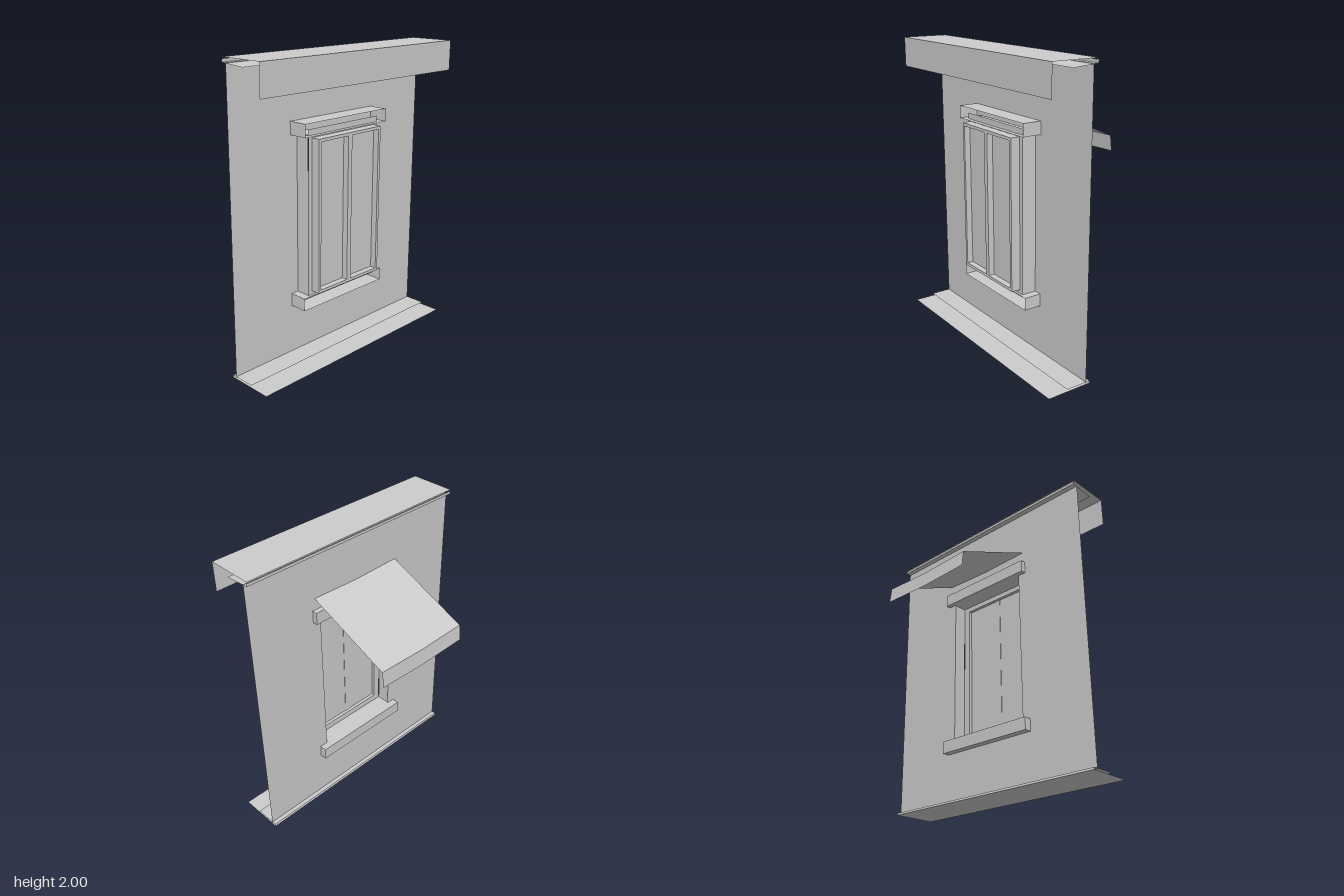
import * as THREE from 'three';

const mat = new THREE.MeshStandardMaterial({ color: 0xcccccc, side: THREE.DoubleSide, flatShading: true });

function add(group, name, geometry, x = 0, y = 0, z = 0) {
  const mesh = new THREE.Mesh(geometry, mat);
  mesh.name = name;
  mesh.position.set(x, y, z);
  group.add(mesh);
  return mesh;
}

// Open sheet: a profile of [x, y] points swept along z from -half to half
function sheet(points, half) {
  const pos = [], idx = [];
  points.forEach(([x, y], i) => {
    pos.push(x, y, half, x, y, -half);
    if (i) {
      const a = 2 * i - 2;
      idx.push(a, a + 1, a + 2, a + 1, a + 3, a + 2);
    }
  });
  const g = new THREE.BufferGeometry();
  g.setAttribute('position', new THREE.Float32BufferAttribute(pos, 3));
  g.setIndex(idx);
  g.computeVertexNormals();
  return g;
}

// Rectangle in the z-y plane, as a path
function rect(path, half, y0, y1) {
  path.moveTo(-half, y0);
  path.lineTo(half, y0);
  path.lineTo(half, y1);
  path.lineTo(-half, y1);
  path.closePath();
  return path;
}

// Flat panel facing +x with a rectangular opening
function panel(outer, inner) {
  const s = rect(new THREE.Shape(), ...outer);
  s.holes.push(rect(new THREE.Path(), ...inner));
  return s;
}

export function createModel() {
  const model = new THREE.Group();
  model.name = 'windowWall';

  // Wall with window opening
  const wall = new THREE.ShapeGeometry(panel([0.85, 0.01, 1.97], [0.31, 0.42, 1.5])).rotateY(Math.PI / 2);
  add(model, 'wall', wall, 0.155);

  // Cornice: roof sheet with hanging fascia, and a lipped soffit
  add(model, 'cornice', sheet([[0.12, 2], [0.44, 2], [0.44, 1.8]], 0.85));
  add(model, 'soffit', sheet([[0.12, 1.99], [0.12, 1.97], [0.3, 1.957]], 0.85));

  // Floor plates
  add(model, 'floorPlate', sheet([[0.12, 0], [0.44, 0]], 0.85));
  add(model, 'floorStep', sheet([[0.12, 0.0], [0.125, 0.015], [0.3, 0.015]], 0.85));

  // Lintel and sill: channels open toward +x, with closed ends
  const channels = [['lintel', 0.12, 0.29, 1.49, 1.575], ['sill', 0.105, 0.275, 0.345, 0.43]];
  for (const [name, x0, x1, y0, y1] of channels) {
    const g = new THREE.Group();
    g.name = name;
    add(g, name + 'Channel', sheet([[x1, y1], [x0, y1], [x0, y0], [x1, y0]], 0.37));
    for (const z of [-0.37, 0.37])
      add(g, name + 'End', new THREE.PlaneGeometry(x1 - x0, y1 - y0), (x0 + x1) / 2, (y0 + y1) / 2, z);
    model.add(g);
  }

  // Window casing: side reveals and a flat surround
  for (const z of [-0.315, 0.315])
    add(model, 'jamb', new THREE.PlaneGeometry(0.1, 1.08), 0.205, 0.96, z);
  const surround = new THREE.ShapeGeometry(panel([0.315, 0.41, 1.53], [0.28, 0.46, 1.47])).rotateY(Math.PI / 2);
  add(model, 'surround', surround, 0.256);

  // Sash frame, mullion and panes
  const sash = new THREE.ExtrudeGeometry(panel([0.285, 0.455, 1.475], [0.265, 0.475, 1.455]),
    { depth: 0.065, bevelEnabled: false }).rotateY(Math.PI / 2);
  add(model, 'sash', sash, 0.255);
  add(model, 'mullion', new THREE.BoxGeometry(0.045, 1.01, 0.035), 0.2975, 0.965, 0.005);
  for (const z of [-0.14, 0.14])
    add(model, 'pane', new THREE.PlaneGeometry(0.28, 1.01).rotateY(Math.PI / 2), 0.278, 0.965, z);

  // Awning: sloping cloth with a hanging front edge, sagging slightly in the middle
  const profile = [[0.155, 1.657], [-0.43, 1.407], [-0.443, 1.3]];
  const cloth = new THREE.PlaneGeometry(1, 1, 2, 2);
  const p = cloth.attributes.position;
  for (let i = 0; i < p.count; i++) {
    const [x, y] = profile[Math.floor(i / 3)];
    const t = i % 3 - 1;
    p.setXYZ(i, x, y - (t === 0 ? 0.01 : 0), t * 0.353 + 0.003);
  }
  cloth.computeVertexNormals();
  add(model, 'awning', cloth);

  return model;
}
